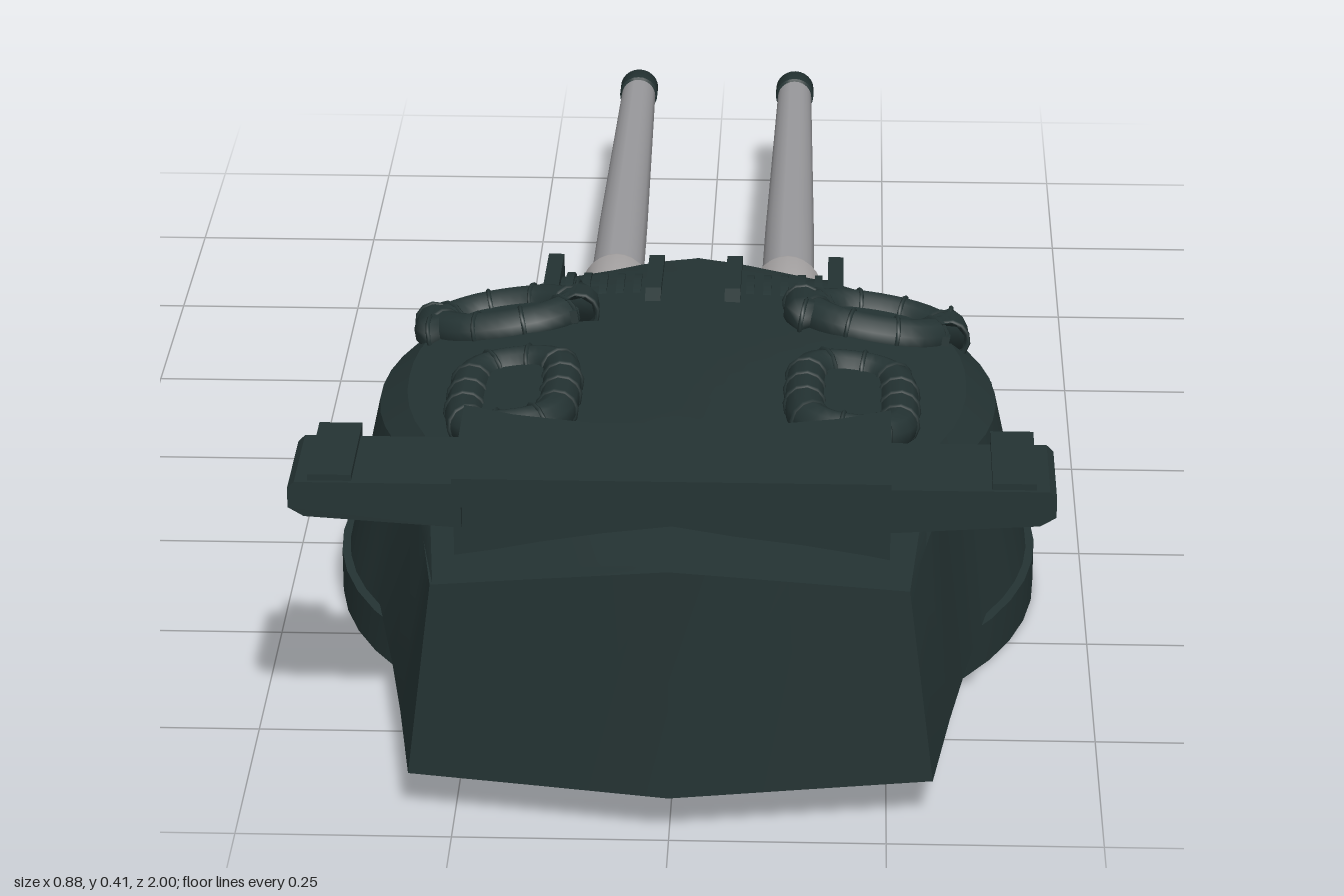
import * as THREE from 'three';
import { toCreasedNormals } from 'three/addons/utils/BufferGeometryUtils.js';

export function createModel() {
  const root = new THREE.Group();
  root.name = 'twinGunTurret';
  const mat = (name, color) => {
    const m = new THREE.MeshStandardMaterial({ color });
    m.name = name;
    return m;
  };
  const armour = mat('darkArmour', 0x243333);
  const barrelGrey = mat('barrelGrey', 0x98989b);
  const collarGrey = mat('collarGrey', 0xaaa7a7);

  const add = (name, geo, material = armour, parent = root, x = 0, y = 0, z = 0) => {
    const m = new THREE.Mesh(geo, material);
    m.name = name;
    m.position.set(x, y, z);
    parent.add(m);
    return m;
  };
  const box = (w, h, d) => new THREE.BoxGeometry(w, h, d);
  const lerp = THREE.MathUtils.lerp;

  // Turntable ring
  add('baseRing', toCreasedNormals(new THREE.CylinderGeometry(0.438, 0.438, 0.056, 48), 0.5),
    armour, root, 0, 0.028, 0.325);

  // Armoured house: round front, tapered tail, stacked outlines closed over the roof
  const half = [];
  for (let i = 0; i <= 18; i++) {
    const a = (i / 18) * 2.08;
    half.push([0.428 * Math.sin(a), 0.325 - 0.42 * Math.cos(a)]);
  }
  half.push([0.345, 0.68], [0.325, 0.8], [0.303, 0.95], [0.15, 0.975], [0, 1]);
  const outline = [...half, ...half.slice(1, -1).reverse().map(([x, z]) => [-x, z])];
  const inset = (z, f) => (z < 0.325 ? 0.325 - (0.325 - z) * f : z);
  const crown = (z) => (z > 0.68 ? lerp(0.338, 0.345, (z - 0.68) / 0.32)
    : lerp(0.295, 0.338, Math.max(0, z) / 0.68));
  const layerPoint = (layer, [x, z]) => {
    const t = THREE.MathUtils.clamp((z - 0.325) / 0.6, 0, 1);
    if (layer === 0) return [0, 0.055, z];
    if (layer === 1) return [x, 0.055, z];
    const f = layer === 2 ? 0.9 : lerp(0.81, 0.89, t);
    const px = x * f;
    const pz = inset(z, layer === 2 ? 0.88 : 0.8);
    if (z > 0.94) {
      const k = [1, 1, 1, 1, 0.5, 0][layer];
      return [px * k, 0.345 - 0.045 * Math.abs(px * k) / 0.27, z];
    }
    if (layer === 2) return [px, lerp(0.25, 0.29, t), pz];
    const edge = lerp(0.282, 0.3, t);
    if (layer === 3) return [px, edge, pz];
    const rise = crown(pz) - edge;
    return layer === 4 ? [px * 0.6, edge + rise * lerp(0.8, 0.45, t), pz] : [0, edge + rise, pz];
  };
  const pos = [];
  const idx = [];
  const n = outline.length;
  for (let j = 0; j < 6; j++) outline.forEach((p) => pos.push(...layerPoint(j, p)));
  for (let j = 0; j < 5; j++) {
    for (let i = 0; i < n; i++) {
      const a = j * n + i;
      const b = j * n + ((i + 1) % n);
      idx.push(b, a, a + n, b, a + n, b + n);
    }
  }
  const house = new THREE.BufferGeometry();
  house.setAttribute('position', new THREE.Float32BufferAttribute(pos, 3));
  house.setIndex(idx);
  add('turretHouse', toCreasedNormals(house, 0.45));

  // Guns, each with cheeks, ribbed mantlet, sleeve, collar, barrel and muzzle
  const lathe = (pts, seg = 24) => toCreasedNormals(
    new THREE.LatheGeometry(pts.map(([r, d]) => new THREE.Vector2(r, d)), seg).rotateX(-Math.PI / 2), 0.6);
  const cheekShape = new THREE.Shape([[-0.2, 0.28], [-0.13, 0.313], [0, 0.303], [0.036, 0.2], [0.05, 0.1], [-0.2, 0.1]]
    .map(([a, b]) => new THREE.Vector2(a, b)));
  const cheekGeo = new THREE.ExtrudeGeometry(cheekShape, { depth: 0.02, bevelEnabled: false });
  cheekGeo.translate(0, 0, -0.01).rotateY(Math.PI / 2);
  const drum = (r, w) => toCreasedNormals(new THREE.CylinderGeometry(r, r, w, 32).rotateZ(Math.PI / 2), 0.5);
  for (const s of [-1, 1]) {
    const gun = new THREE.Group();
    gun.name = s > 0 ? 'leftGun' : 'rightGun';
    gun.position.x = s * 0.117;
    root.add(gun);
    for (const c of [-1, 1]) add('portCheek', cheekGeo, armour, gun, c * 0.066);
    add('mantlet', drum(0.126, 0.112), armour, gun, 0, 0.172, 0.09);
    for (let i = 0; i < 5; i++) {
      add('mantletRib', drum(0.132, 0.01), armour, gun, (i - 2) * 0.022, 0.172, 0.09);
    }
    const parts = [
      ['sleeve', armour, [[0, -0.1], [0.055, -0.1], [0.054, 0.06], [0.049, 0.165], [0, 0.165]]],
      ['collar', collarGrey, [[0.046, 0.16], [0.046, 0.245], [0.04, 0.262], [0.034, 0.262]]],
      ['barrel', barrelGrey, [[0.036, 0.255], [0.034, 0.45], [0.025, 0.962]]],
      ['muzzle', armour, [[0.024, 0.957], [0.028, 0.962], [0.028, 0.994], [0.025, 0.999]]],
      ['muzzleFace', collarGrey, [[0.025, 0.999], [0.016, 1]]],
      ['bore', armour, [[0.016, 1], [0.015, 0.965], [0, 0.965]]],
    ];
    for (const [name, m, pts] of parts) add(name, lathe(pts), m, gun, 0, 0.152, 0);
  }

  // Roof life rafts: oval tube with lashing bands and a floor
  const makeRaft = (w, l, r) => {
    const g = new THREE.Group();
    g.name = 'lifeRaft';
    const hw = w / 2 - r;
    const hl = l / 2 - r;
    const rad = hw * 0.85;
    const pts = [];
    for (const [cx, cz, a0] of [[1, 1, 0], [-1, 1, 1], [-1, -1, 2], [1, -1, 3]]) {
      for (let i = 0; i <= 4; i++) {
        const a = (a0 + i / 4) * Math.PI / 2;
        pts.push(new THREE.Vector3(cx * (hw - rad) + rad * Math.cos(a), 0, cz * (hl - rad) + rad * Math.sin(a)));
      }
    }
    const path = new THREE.CatmullRomCurve3(pts, true, 'centripetal');
    add('raftTube', new THREE.TubeGeometry(path, 48, r, 10, true), armour, g);
    add('raftFloor', box(hw * 2, 0.016, hl * 1.75), armour, g);
    for (let i = 0; i < 12; i++) {
      const band = add('raftBand', new THREE.TorusGeometry(r, 0.003, 5, 12), armour, g);
      band.position.copy(path.getPointAt(i / 12));
      band.lookAt(band.position.clone().add(path.getTangentAt(i / 12)));
    }
    return g;
  };
  for (const s of [-1, 1]) {
    const rear = makeRaft(0.16, 0.265, 0.024);
    rear.position.set(s * 0.205, 0.333, 0.51);
    rear.rotation.set(-0.07, 0, -s * 0.12);
    const front = makeRaft(0.235, 0.14, 0.024);
    front.position.set(s * 0.235, 0.298, 0.195);
    front.rotation.set(-0.1, 0, -s * 0.16);
    root.add(rear, front);

    // Side sight
    const sight = new THREE.Group();
    sight.name = 'sideSight';
    sight.position.set(s * 0.335, 0.153, 0.1);
    sight.rotation.y = s > 0 ? 0.58 : Math.PI - 0.58;
    root.add(sight);
    add('sightStem', new THREE.CylinderGeometry(0.019, 0.022, 0.06, 12).rotateZ(-Math.PI / 2), armour, sight, 0.01);
    add('sightDome', new THREE.SphereGeometry(0.021, 12, 8), armour, sight, 0.04);
  }

  // Rangefinder: cover slab, pedestal, tapered arms and end housings
  const finder = new THREE.Group();
  finder.name = 'rangefinder';
  root.add(finder);
  const plan = new THREE.Shape([[-0.25, -0.9], [0.25, -0.9], [0.25, -0.7], [0.19, -0.725], [0.1, -0.745],
    [-0.1, -0.745], [-0.19, -0.725], [-0.25, -0.7]].map(([a, b]) => new THREE.Vector2(a, b)));
  const cover = new THREE.ExtrudeGeometry(plan, { depth: 0.036, bevelEnabled: false });
  add('finderCover', cover.rotateX(-Math.PI / 2), armour, finder, 0, 0.373, 0);
  add('finderPedestal', box(0.5, 0.08, 0.11), armour, finder, 0, 0.34, 0.825);
  add('finderBoss', new THREE.CylinderGeometry(0.045, 0.045, 0.06, 20), armour, finder, 0, 0.37, 0.75);
  for (const s of [-1, 1]) {
    const armShape = new THREE.Shape([[0.24, 0.345], [0.42, 0.357], [0.438, 0.368], [0.438, 0.392], [0.43, 0.4], [0.24, 0.4]]
      .map(([a, b]) => new THREE.Vector2(a, b)));
    const arm = new THREE.ExtrudeGeometry(armShape, { depth: 0.125, bevelEnabled: false });
    if (s < 0) arm.rotateY(Math.PI);
    add('finderArm', arm, armour, finder, 0, 0, s > 0 ? 0.77 : 0.895);
    add('finderLensHousing', box(0.05, 0.053, 0.14), armour, finder, s * 0.39, 0.381, 0.82);
  }
  return root;
}
